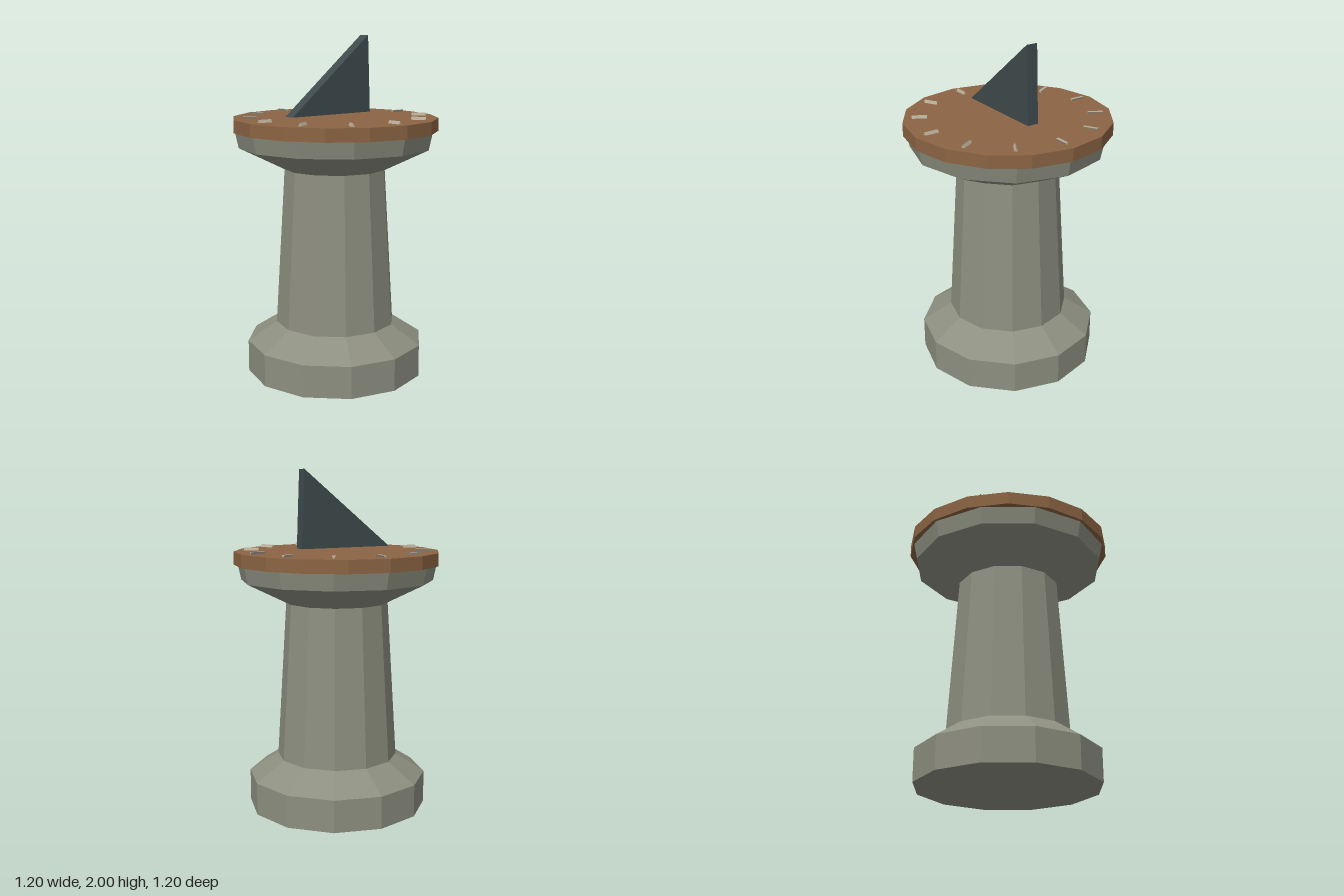
import * as THREE from 'three';

const paint = (color) => new THREE.MeshStandardMaterial({ color, flatShading: true });

function addPart(parent, name, geometry, material) {
  const mesh = new THREE.Mesh(geometry, material);
  mesh.name = name;
  parent.add(mesh);
  return mesh;
}

export function createModel() {
  const group = new THREE.Group();
  group.name = 'sundial';
  const stone = paint(0x8d8f80);
  const copper = paint(0x8b6443);
  const iron = paint(0x3e4a4c);
  const pale = paint(0xb5ab96);

  // Twelve-sided stone pedestal: plinth, tapering shaft and flared capital
  const profile = [
    [0, 0], [0.53, 0], [0.53, 0.19], [0.357, 0.303], [0.3, 1.23],
    [0.565, 1.36], [0.585, 1.455], [0, 1.455],
  ].map(([r, y]) => new THREE.Vector2(r, y));
  addPart(group, 'pedestal', new THREE.LatheGeometry(profile, 12), stone);

  // Sixteen-sided dial plate
  const plate = addPart(group, 'dialPlate', new THREE.CylinderGeometry(0.602, 0.602, 0.075, 16), copper);
  plate.position.y = 1.4925;

  // Hour marks: three-sided bars, ridge up on one half of the ring, flat side up on the other
  const marks = new THREE.Group();
  marks.name = 'hourMarks';
  group.add(marks);
  for (let i = 0; i < 12; i++) {
    const bar = new THREE.CylinderGeometry(0.0113, 0.0113, 0.085, 3);
    bar.rotateX(-Math.PI / 2);
    if (i >= 6) bar.rotateZ(Math.PI);
    bar.translate(0, 1.537, 0.503);
    bar.rotateY((i * Math.PI) / 6);
    addPart(marks, 'hourMark' + (i + 1), bar, pale);
  }

  // Triangular gnomon, drawn in the z-y plane and given its thickness along x
  const fin = new THREE.Shape([
    new THREE.Vector2(0.335, 1.55),
    new THREE.Vector2(-0.225, 2),
    new THREE.Vector2(-0.243, 1.55),
  ]);
  const blade = new THREE.ExtrudeGeometry(fin, { depth: 0.068, bevelEnabled: false });
  blade.translate(0, 0, -0.034);
  blade.rotateY(-Math.PI / 2);
  addPart(group, 'gnomon', blade, iron);

  return group;
}
